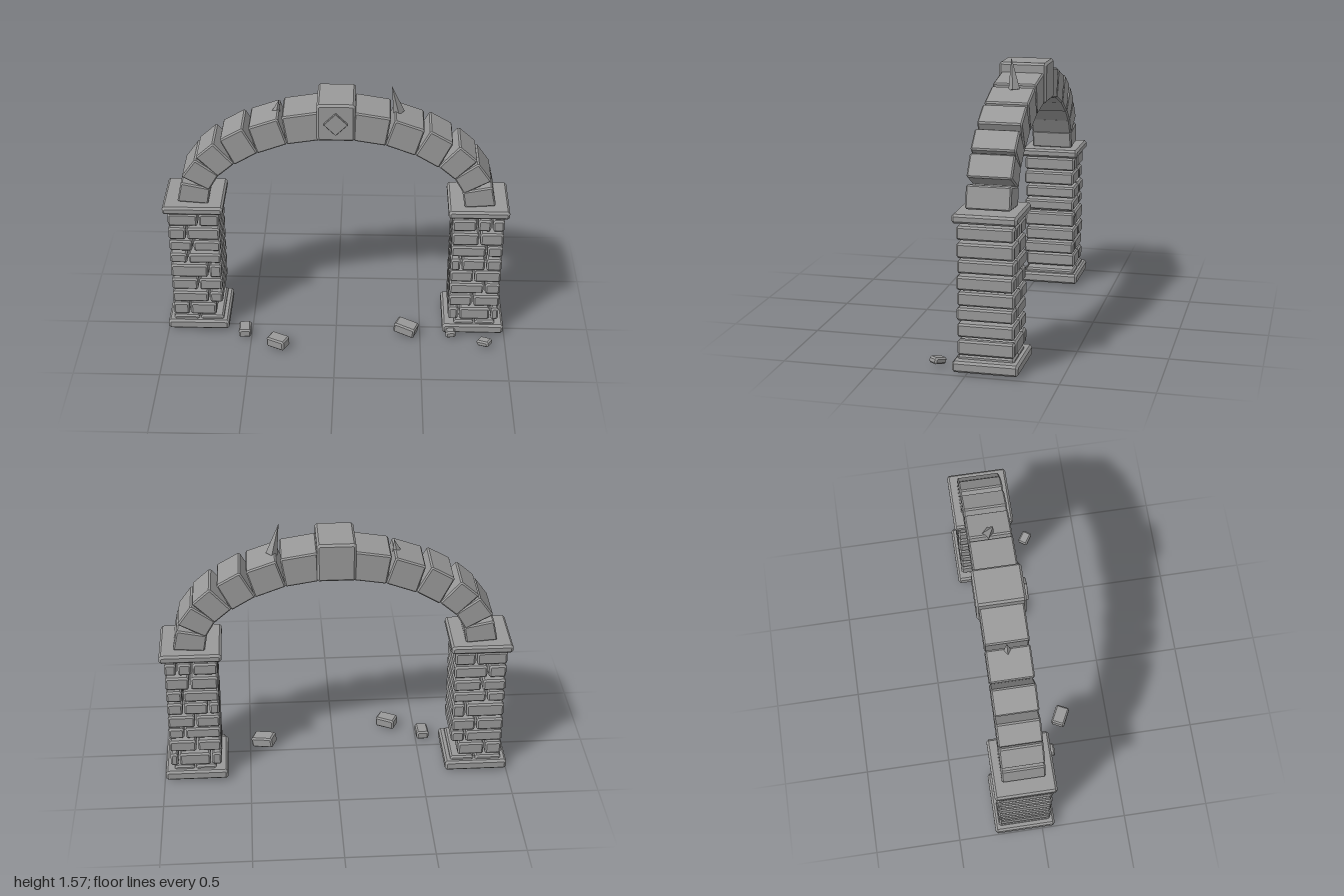
import * as THREE from 'three';

const stone = new THREE.MeshStandardMaterial({ color: 0x999999 });
stone.name = 'grey stone';

// Prism over an xy polygon with every edge chamfered, from z0 to z1
function chamferedPrism(points, z0, z1, c) {
  const p = points.map(([x, y]) => new THREE.Vector2(x, y));
  const outline = [];
  p.forEach((v, i) => {
    for (const n of [p[(i + p.length - 1) % p.length], p[(i + 1) % p.length]]) {
      outline.push(n.clone().sub(v).setLength(c).add(v));
    }
  });
  const geo = new THREE.ExtrudeGeometry(new THREE.Shape(outline), {
    depth: z1 - z0 - 2 * c, bevelThickness: c, bevelSize: c, bevelOffset: -c, bevelSegments: 1,
  });
  return geo.translate(0, 0, z0 + c);
}

function block(x0, x1, y0, y1, z0, z1, c) {
  return chamferedPrism([[x0, y0], [x1, y0], [x1, y1], [x0, y1]], z0, z1, c);
}

function add(parent, name, geometry) {
  const mesh = new THREE.Mesh(geometry, stone);
  mesh.name = name;
  parent.add(mesh);
  return mesh;
}

// Brick courses: bottom, top, z shift, then the x positions of the joints
const rightCourses = [
  [0.74, 0.82, 0.0, -0.965, -0.79, -0.67],
  [0.65, 0.727, 0.004, -0.965, -0.862, -0.67],
  [0.567, 0.636, -0.003, -0.965, -0.83, -0.67],
  [0.487, 0.55, 0.003, -0.965, -0.862, -0.67],
  [0.385, 0.47, 0.0, -0.965, -0.745, -0.67],
  [0.294, 0.37, -0.004, -0.965, -0.808, -0.67],
  [0.21, 0.28, 0.003, -0.965, -0.75, -0.67],
  [0.118, 0.198, 0.0, -0.965, -0.867, -0.712],
  [0.06, 0.107, -0.003, -0.965, -0.81, -0.67],
];
const leftCourses = [
  [0.733, 0.807, 0.0, 0.665, 0.806, 0.89, 0.96],
  [0.637, 0.717, 0.0, 0.665, 0.823, 0.96],
  [0.556, 0.626, -0.003, 0.665, 0.868, 0.96],
  [0.465, 0.54, 0.003, 0.665, 0.725, 0.868, 0.96],
  [0.38, 0.455, -0.003, 0.665, 0.803, 0.96],
  [0.3, 0.369, 0.002, 0.665, 0.868, 0.96],
  [0.21, 0.283, 0.0, 0.665, 0.803, 0.96],
  [0.112, 0.193, -0.002, 0.665, 0.725, 0.912, 0.96],
  [0.06, 0.106, 0.002, 0.7, 0.82, 0.94],
];

function pillar(name, cx, courses) {
  const g = new THREE.Group();
  g.name = name;
  add(g, 'pillarBase', block(cx - 0.18, cx + 0.18, 0.025, 0.086, -0.28, 0.075, 0.012));
  add(g, 'pillarCap', block(cx - 0.173, cx + 0.173, 0.826, 0.875, -0.273, 0.073, 0.012));
  for (const [y0, y1, dz, ...xs] of courses) {
    for (let i = 0; i < xs.length - 1; i++) {
      const a = xs[i] + (i ? 0.005 : 0);
      const b = xs[i + 1] - (i < xs.length - 2 ? 0.005 : 0);
      add(g, 'brick', block(a, b, y0, y1, -0.252 + dz, 0.054 + dz, 0.01));
    }
  }
  return g;
}

// Arch stones of one half: outer bottom, outer top, inner top, inner bottom
const archStones = [
  [[0.906, 0.885], [0.88, 1.01], [0.712, 0.975], [0.73, 0.872]],
  [[0.874, 1.048], [0.794, 1.16], [0.662, 1.064], [0.72, 0.963]],
  [[0.789, 1.176], [0.687, 1.267], [0.572, 1.137], [0.668, 1.053]],
  [[0.65, 1.289], [0.521, 1.364], [0.438, 1.211], [0.572, 1.13]],
  [[0.489, 1.369], [0.324, 1.428], [0.272, 1.269], [0.441, 1.206]],
  [[0.302, 1.439], [0.1, 1.472], [0.095, 1.296], [0.275, 1.267]],
];

// Pointed four-sided shard between two points
function shard(parent, name, base, tip, radius) {
  const a = new THREE.Vector3(...base), dir = new THREE.Vector3(...tip).sub(a);
  const h = dir.length();
  const geo = new THREE.ConeGeometry(radius, h, 4).toNonIndexed().translate(0, h / 2, 0);
  geo.computeVertexNormals();
  const mesh = add(parent, name, geo);
  mesh.position.copy(a);
  mesh.quaternion.setFromUnitVectors(new THREE.Vector3(0, 1, 0), dir.normalize());
}

export function createModel() {
  const model = new THREE.Group();
  model.name = 'stoneArch';

  model.add(pillar('rightPillar', -0.818, rightCourses), pillar('leftPillar', 0.812, leftCourses));

  // Arch ring
  const arch = new THREE.Group();
  arch.name = 'arch';
  model.add(arch);
  for (const side of [-1, 1]) {
    for (const corners of archStones) {
      add(arch, 'archStone', chamferedPrism(corners.map(([x, y]) => [x * side, y]), -0.222, 0.02, 0.008));
    }
  }

  // Keystone with raised diamond
  add(arch, 'keystone', block(-0.108, 0.104, 1.3, 1.525, -0.236, 0.034, 0.012));
  add(arch, 'keystoneDiamond', chamferedPrism(
    [[-0.07, 1.412], [-0.003, 1.345], [0.064, 1.412], [-0.003, 1.479]], 0.02, 0.05, 0.002));

  // Shards on top of the arch
  shard(model, 'tallShard', [0.345, 1.415, -0.11], [0.303, 1.585, -0.085], 0.032);
  shard(model, 'smallShard', [-0.338, 1.41, -0.105], [-0.322, 1.482, -0.105], 0.023);

  // Fallen stones: position, size, turn about y, tilt about z
  const rubble = [
    [[-0.54, 0.047, 0.096], [0.072, 0.052, 0.1], 0.04, 0.03],
    [[-0.337, 0.052, 0.214], [0.115, 0.062, 0.082], -0.46, 0],
    [[0.417, 0.053, 0.06], [0.13, 0.064, 0.088], -0.36, -0.16],
    [[0.68, 0.045, 0.096], [0.058, 0.042, 0.052], 0.05, 0.08],
    [[0.877, 0.045, 0.18], [0.08, 0.036, 0.06], -0.6, 0.2],
  ];
  for (const [pos, [w, h, d], turn, tilt] of rubble) {
    const m = add(model, 'fallenStone', block(-w / 2, w / 2, -h / 2, h / 2, -d / 2, d / 2, 0.009));
    m.position.set(...pos);
    m.rotation.set(0, turn, tilt);
  }
  return model;
}
